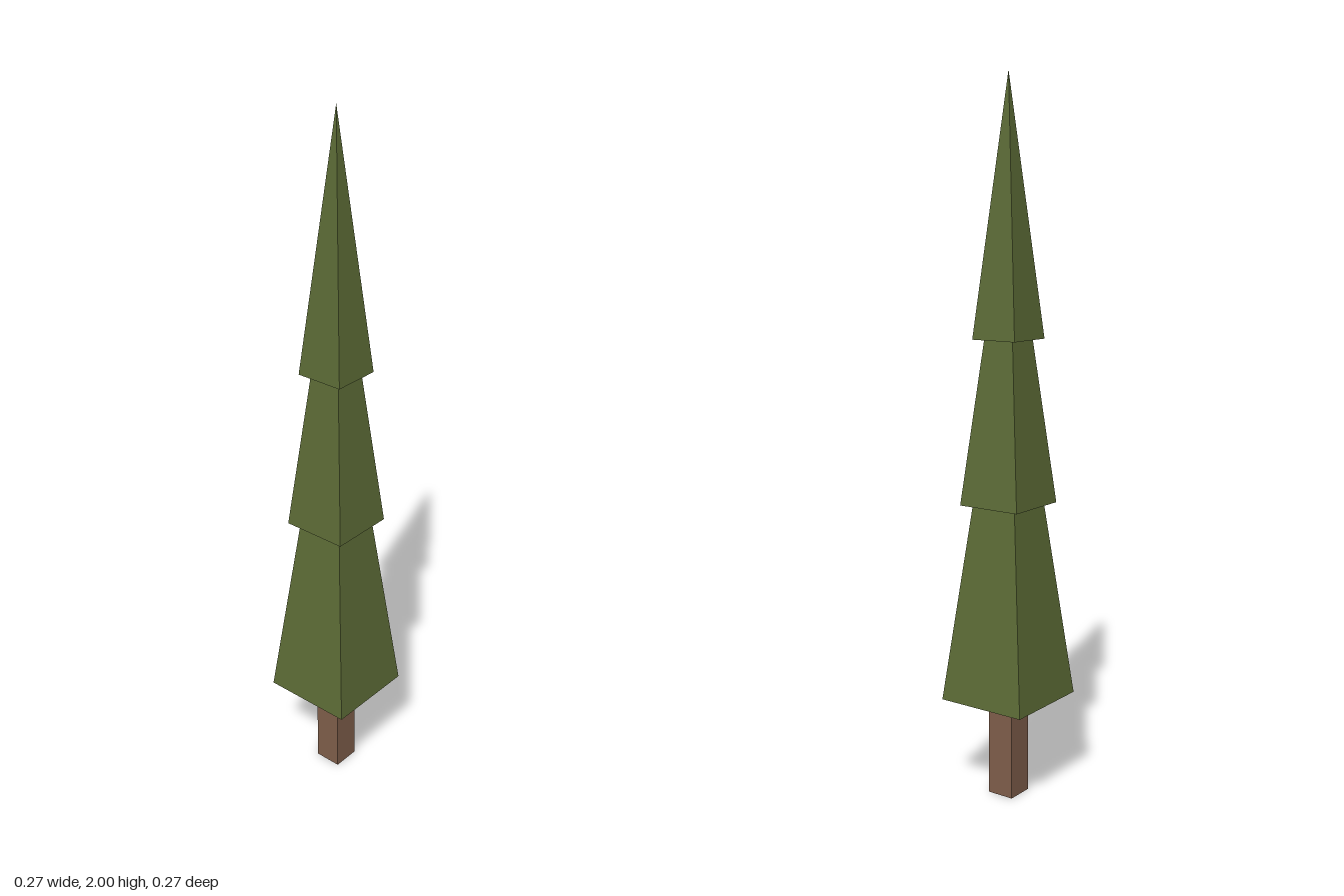
import * as THREE from 'three';

export function createModel() {
  const tree = new THREE.Group();
  tree.name = 'tree';

  const foliage = new THREE.MeshStandardMaterial({ color: 0x5c6b36, flatShading: true });
  foliage.name = 'foliageGreen';
  const bark = new THREE.MeshStandardMaterial({ color: 0x805f4b, flatShading: true, side: THREE.DoubleSide });
  bark.name = 'barkBrown';

  // Four-sided cylinder turned so its flat sides face the axes
  function addSquare(name, material, halfTop, halfBottom, y0, y1, open) {
    const geometry = new THREE.CylinderGeometry(
      halfTop * Math.SQRT2, halfBottom * Math.SQRT2, y1 - y0, 4, 1, open);
    geometry.rotateY(Math.PI / 4);
    geometry.translate(0, (y0 + y1) / 2, 0);
    const mesh = new THREE.Mesh(geometry, material);
    mesh.name = name;
    tree.add(mesh);
  }

  // Trunk: hollow square post, open underneath
  addSquare('trunk', bark, 0.04, 0.04, 0, 0.3, true);

  // Foliage: three stacked pyramids, each tip hidden inside the one above
  addSquare('lowerFoliage', foliage, 0, 0.133, 0.285, 1.46, false);
  addSquare('middleFoliage', foliage, 0, 0.095, 0.84, 1.74, false);
  addSquare('upperFoliage', foliage, 0, 0.07, 1.295, 2, false);

  return tree;
}
